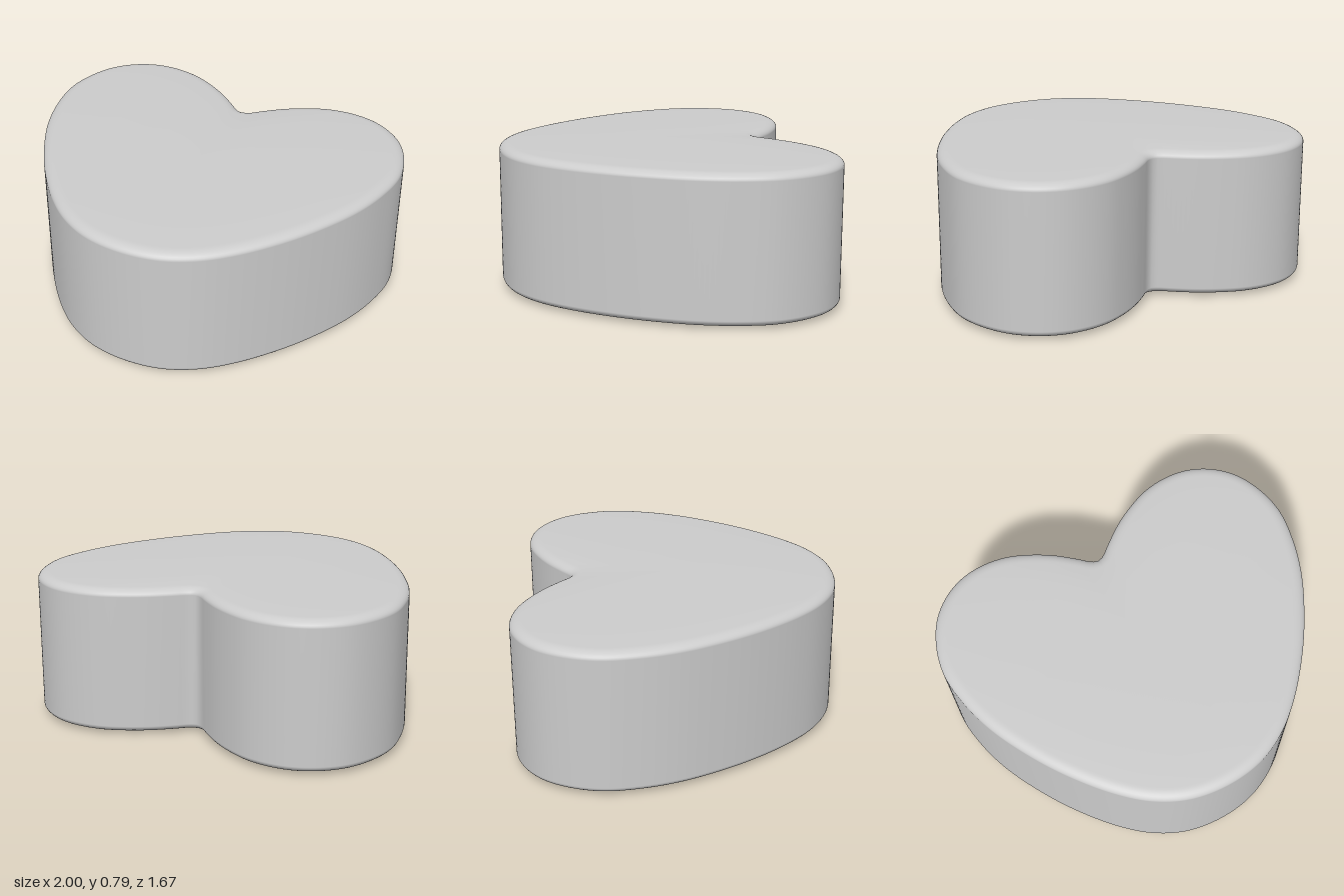
import * as THREE from 'three';

// Right half of the heart outline as [x, z], from the back notch to the front tip
const HALF = [
  [0, -0.57], [0.035, -0.583], [0.09, -0.63], [0.19, -0.708], [0.3, -0.772], [0.42, -0.82],
  [0.55, -0.838], [0.68, -0.822], [0.8, -0.765], [0.9, -0.67], [0.97, -0.53], [1.0, -0.37],
  [0.978, -0.19], [0.92, 0.0], [0.82, 0.2], [0.69, 0.4], [0.52, 0.6], [0.37, 0.725],
  [0.2, 0.805], [0, 0.832],
];
const SEGMENTS = 240;
const HEIGHT = 0.786;
const CROWN = 0.01; // slight bulge of the top and bottom faces
const EDGE_IN = 0.065, EDGE_UP = 0.038; // rounded rim

// Closed smooth outline, mirrored across x = 0, with outward normals
function heartOutline() {
  const mirrored = HALF.slice(1, -1).reverse().map(([x, z]) => [-x, z]);
  const points = [...HALF, ...mirrored].map(([x, z]) => new THREE.Vector3(x, 0, z));
  const curve = new THREE.CatmullRomCurve3(points, true, 'centripetal');
  curve.arcLengthDivisions = 1000;
  return Array.from({ length: SEGMENTS }, (_, i) => {
    const p = curve.getPointAt(i / SEGMENTS);
    const t = curve.getTangentAt(i / SEGMENTS);
    return { x: p.x, z: p.z, nx: t.z, nz: -t.x };
  });
}

// Rings from the bottom centre to the rim: inset along normals, then scaled to the centre
function bottomRings() {
  const rings = [];
  for (const scale of [0, 0.3, 0.6, 0.8, 0.92]) {
    rings.push({ inset: EDGE_IN, scale, y: CROWN * scale ** 4 });
  }
  for (let i = 0; i <= 8; i++) {
    const a = (i / 8) * Math.PI / 2;
    rings.push({
      inset: EDGE_IN * (1 - Math.sin(a)),
      scale: 1,
      y: CROWN + EDGE_UP * (1 - Math.cos(a)),
    });
  }
  return rings;
}

function heartGeometry() {
  const outline = heartOutline();
  const lower = bottomRings();
  const upper = lower.map((r) => ({ ...r, y: HEIGHT - r.y })).reverse();
  const rings = [...lower, ...upper];
  const positions = [], index = [];
  rings.forEach(({ inset, scale, y }, i) => {
    outline.forEach((p, j) => {
      positions.push((p.x - p.nx * inset) * scale, y, (p.z - p.nz * inset) * scale);
      if (i === rings.length - 1) return;
      const a = i * SEGMENTS + j, b = i * SEGMENTS + (j + 1) % SEGMENTS;
      const c = a + SEGMENTS, d = b + SEGMENTS;
      // one triangle per step at the two centres, two elsewhere
      if (i < rings.length - 2) index.push(c, d, b);
      if (i > 0) index.push(a, c, b);
      else index.push(a, c, d);
    });
  });
  const geometry = new THREE.BufferGeometry();
  geometry.setAttribute('position', new THREE.Float32BufferAttribute(positions, 3));
  geometry.setIndex(index);
  geometry.computeVertexNormals();
  return geometry;
}

export function createModel() {
  const group = new THREE.Group();
  group.name = 'heartBlock';
  const body = new THREE.Mesh(heartGeometry(), new THREE.MeshStandardMaterial({ color: 0xcccccc }));
  body.name = 'heartBody';
  group.add(body);
  return group;
}
